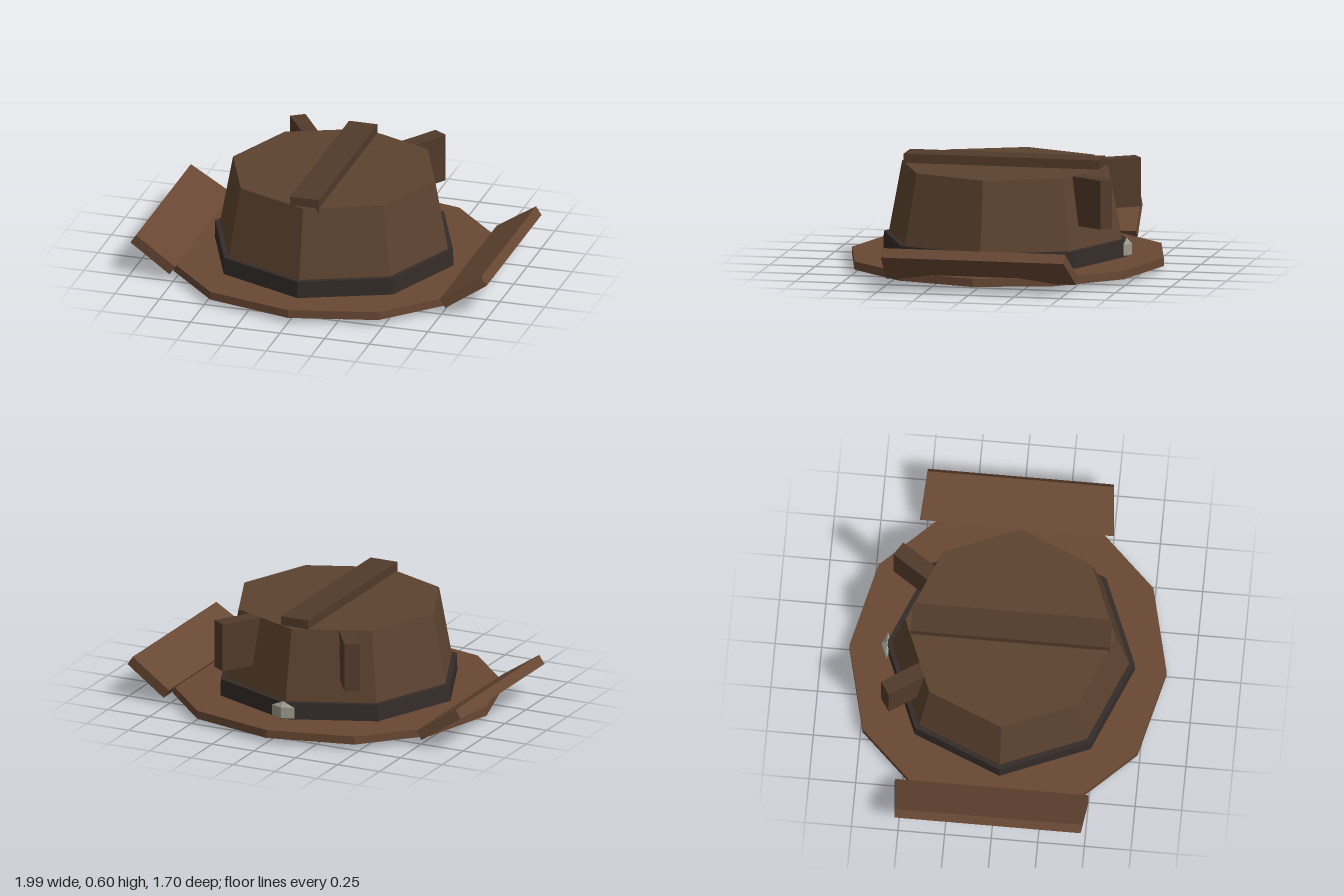
import * as THREE from 'three';

const mat = (color) => new THREE.MeshStandardMaterial({ color, flatShading: true });

// Moves every vertex of a geometry by a rule
function reshape(geometry, rule) {
  const p = geometry.attributes.position;
  const v = new THREE.Vector3();
  for (let i = 0; i < p.count; i++) {
    rule(v.fromBufferAttribute(p, i));
    p.setXYZ(i, v.x, v.y, v.z);
  }
  geometry.computeVertexNormals();
  return geometry;
}

export function createModel() {
  const hat = new THREE.Group();
  hat.name = 'hat';
  const brimMat = mat(0x684834);
  const crownMat = mat(0x5c422f);
  const trimMat = mat(0x523a2b);
  const bandMat = mat(0x342c29);
  const metalMat = mat(0x9a9a8c);

  const add = (name, geometry, material, x = 0, y = 0, z = 0) => {
    const mesh = new THREE.Mesh(geometry, material);
    mesh.name = name;
    mesh.position.set(x, y, z);
    hat.add(mesh);
    return mesh;
  };

  // Twelve-sided brim, its underside sagging to a shallow point
  const brim = reshape(new THREE.CylinderGeometry(1, 1, 0.045, 12), (v) => {
    const r = Math.hypot(v.x, v.z);
    if (r < 0.01 && v.y < 0) v.y = -0.05;
    v.x *= Math.abs(Math.abs(v.x) - 0.5) < 0.01 ? 0.94 : 0.89;
    v.z *= 0.852;
  });
  add('brim', brim, brimMat, 0, 0.05, 0);

  // Octagonal crown and the band around its foot
  add('crown', new THREE.CylinderGeometry(0.565, 0.655, 0.48, 8), crownMat, 0, 0.31, 0.014);
  add('band', new THREE.CylinderGeometry(0.665, 0.668, 0.095, 8), bandMat, 0, 0.118, 0.014);

  // Ridge running along the top
  add('topRidge', new THREE.BoxGeometry(0.16, 0.075, 1.07), trimMat, 0, 0.5625, 0.018);

  for (const side of [1, -1]) {
    const prefix = side > 0 ? 'left' : 'right';

    // Upturned side flap, slightly shorter along its outer edge
    const flap = reshape(new THREE.BoxGeometry(0.27, 0.056, 1.02), (v) => {
      v.z *= v.x * side > 0 ? 0.98 : 1.02;
    });
    add(prefix + 'Flap', flap, brimMat, side * 0.868, 0.136, -0.02).rotation.z = side * 0.585;

    // Upright tab standing out from the back of the crown
    const tab = add(prefix + 'BackTab', new THREE.BoxGeometry(0.085, 0.265, 0.27), trimMat,
      side * 0.325, 0.417, -0.512);
    tab.rotation.y = -side * 0.585;
  }

  // Metal stud on the back of the band: diamond prism with a pointed top
  const stud = new THREE.LatheGeometry(
    [[0, 0], [1, 0], [1, 0.06], [0, 0.088]].map(([x, y]) => new THREE.Vector2(x, y)), 4);
  stud.scale(0.066, 1, 0.028);
  add('stud', stud, metalMat, 0, 0.085, -0.65);

  return hat;
}
